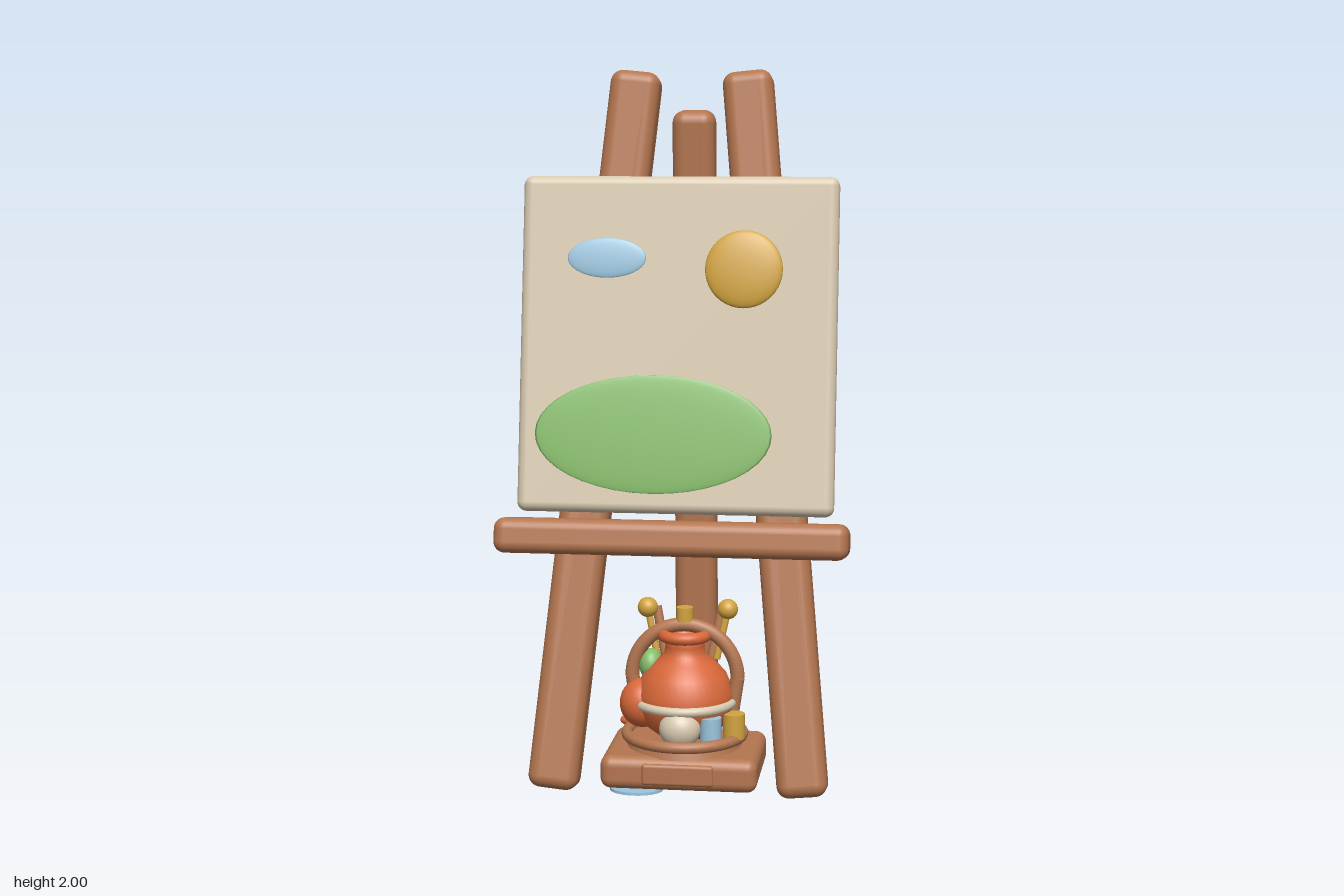
import * as THREE from 'three';
import { RoundedBoxGeometry } from 'three/addons/geometries/RoundedBoxGeometry.js';

const mat = (name, color) => {
  const m = new THREE.MeshStandardMaterial({ color });
  m.name = name;
  return m;
};

export function createModel() {
  const wood = mat('wood', 0xb47650);
  const cream = mat('cream', 0xd8c9b0);
  const gold = mat('gold', 0xd2a440);
  const green = mat('green', 0x86bd6a);
  const blue = mat('blue', 0x9cc5de);
  const orange = mat('orange', 0xd9683a);
  const lavender = mat('lavender', 0xa894c8);

  const model = new THREE.Group();
  model.name = 'easel';
  const V = (x, y, z) => new THREE.Vector3(x, y, z);
  const add = (parent, name, geo, material, x = 0, y = 0, z = 0) => {
    const m = new THREE.Mesh(geo, material);
    m.name = name;
    m.position.set(x, y, z);
    parent.add(m);
    return m;
  };
  const UP = V(0, 1, 0);
  // Place a mesh whose long axis is y between two points
  const between = (parent, name, geo, material, a, b) => {
    const m = add(parent, name, geo, material);
    m.position.copy(a).add(b).multiplyScalar(0.5);
    m.quaternion.setFromUnitVectors(UP, b.clone().sub(a).normalize());
    return m;
  };
  const beam = (name, a, b, w, d) =>
    between(model, name, new RoundedBoxGeometry(w, a.distanceTo(b), d, 4, 0.035), wood, a, b);
  const rod = (parent, name, a, b, r, material) =>
    between(parent, name, new THREE.CylinderGeometry(r, r, a.distanceTo(b), 16), material, a, b);
  const ellipsoid = (parent, name, material, x, y, z, rx, ry, rz) => {
    const m = add(parent, name, new THREE.SphereGeometry(1, 32, 20), material, x, y, z);
    m.scale.set(rx, ry, rz);
    return m;
  };

  // Tripod legs
  for (const s of [-1, 1]) {
    beam(s > 0 ? 'leftLeg' : 'rightLeg', V(s * 0.35, 0.012, 0.165), V(s * 0.155, 1.992, -0.177), 0.14, 0.115);
  }
  beam('backLeg', V(0, 0.012, -0.307), V(0, 1.888, -0.218), 0.12, 0.11);

  // Ledge
  const tilt = -0.17;
  const ledge = add(model, 'ledge', new RoundedBoxGeometry(0.95, 0.095, 0.165, 4, 0.03), wood, 0, 0.75, 0.278);
  ledge.rotation.x = tilt;

  // Canvas with raised paint patches
  const canvas = new THREE.Group();
  canvas.name = 'canvas';
  canvas.position.set(0, 1.257, 0.147);
  canvas.rotation.x = tilt;
  model.add(canvas);
  add(canvas, 'canvasPanel', new RoundedBoxGeometry(0.86, 0.914, 0.068, 4, 0.025), cream);
  ellipsoid(canvas, 'paintedSun', gold, 0.178, 0.204, 0.034, 0.105, 0.105, 0.02);
  ellipsoid(canvas, 'paintedCloud', blue, -0.195, 0.232, 0.034, 0.107, 0.054, 0.008);
  ellipsoid(canvas, 'paintedHill', green, -0.06, -0.244, 0.034, 0.322, 0.16, 0.009);

  // Paint pot on a wooden stand
  const pot = new THREE.Group();
  pot.name = 'paintPot';
  model.add(pot);
  const ring = (name, R, r, y, material) => {
    const m = add(pot, name, new THREE.TorusGeometry(R, r, 14, 40), material, 0, y, 0);
    m.rotation.x = Math.PI / 2;
    return m;
  };
  add(pot, 'standBase', new RoundedBoxGeometry(0.44, 0.095, 0.34, 4, 0.03), wood, 0, 0.058, 0);
  add(pot, 'standDrawer', new RoundedBoxGeometry(0.2, 0.06, 0.02, 3, 0.009), wood, 0, 0.06, 0.168);
  add(pot, 'standTop', new THREE.CylinderGeometry(0.155, 0.165, 0.035, 40), wood, 0, 0.117, 0);
  ring('standRing', 0.165, 0.016, 0.137, wood);

  // Round body and neck
  const profile = [[0, 0.12], [0.07, 0.13], [0.115, 0.165], [0.138, 0.215], [0.138, 0.26],
    [0.118, 0.31], [0.085, 0.345], [0.06, 0.365], [0.055, 0.39], [0.062, 0.425], [0.04, 0.425], [0.035, 0.38], [0, 0.375]];
  add(pot, 'potBody', new THREE.LatheGeometry(profile.map(p => new THREE.Vector2(...p)), 40), orange);
  ring('potRim', 0.06, 0.017, 0.42, orange);
  ring('potBand', 0.135, 0.014, 0.23, cream);
  ellipsoid(pot, 'sideBulge', orange, -0.118, 0.225, 0.02, 0.065, 0.07, 0.065);
  ellipsoid(pot, 'greenDab', green, -0.098, 0.33, -0.01, 0.034, 0.045, 0.04);

  // Arched handle with gold cap
  add(pot, 'handle', new THREE.TorusGeometry(0.15, 0.02, 14, 40, Math.PI), wood, 0, 0.3, 0);
  for (const s of [-1, 1]) {
    rod(pot, 'handleSide', V(s * 0.15, 0.3, 0), V(s * 0.135, 0.2, 0), 0.02, wood);
  }
  add(pot, 'handleCap', new THREE.CylinderGeometry(0.024, 0.024, 0.04, 24), gold, 0, 0.48, 0);

  // Brushes and ball-topped pins behind the handle
  for (const s of [-1, 1]) {
    rod(pot, 'brush', V(s * 0.055, 0.28, -0.085), V(s * 0.095, 0.475, -0.112), 0.014, wood);
    rod(pot, 'pin', V(s * 0.085, 0.34, -0.055), V(s * 0.115, 0.48, -0.067), 0.01, gold);
    ellipsoid(pot, 'pinBall', gold, s * 0.115, 0.482, -0.067, 0.029, 0.029, 0.029);
  }

  // Small jars around the pot
  ellipsoid(pot, 'creamBall', cream, 0, 0.178, 0.115, 0.058, 0.055, 0.05);
  add(pot, 'blueJar', new THREE.CylinderGeometry(0.03, 0.03, 0.07, 24), blue, 0.085, 0.175, 0.1);
  add(pot, 'blueJar', new THREE.CylinderGeometry(0.034, 0.034, 0.075, 24), blue, 0.112, 0.178, -0.06);
  add(pot, 'goldJar', new THREE.CylinderGeometry(0.031, 0.031, 0.07, 24), gold, 0.145, 0.175, 0.05);

  // Brush lying on the stand
  rod(pot, 'lyingBrush', V(-0.14, 0.132, -0.13), V(0.13, 0.132, -0.14), 0.013, wood);
  ellipsoid(pot, 'lyingBrushTip', orange, -0.17, 0.132, -0.125, 0.035, 0.018, 0.018);

  // Paint spills on the floor
  const spill = (name, material, x, z, rx, rz) => {
    const m = add(pot, name, new THREE.CylinderGeometry(1, 1, 0.008, 28), material, x, 0.008, z);
    m.scale.set(rx, 1, rz);
  };
  spill('blueSpill', blue, -0.12, 0.13, 0.075, 0.06);
  spill('lavenderSpill', lavender, 0, -0.165, 0.07, 0.06);

  return model;
}
